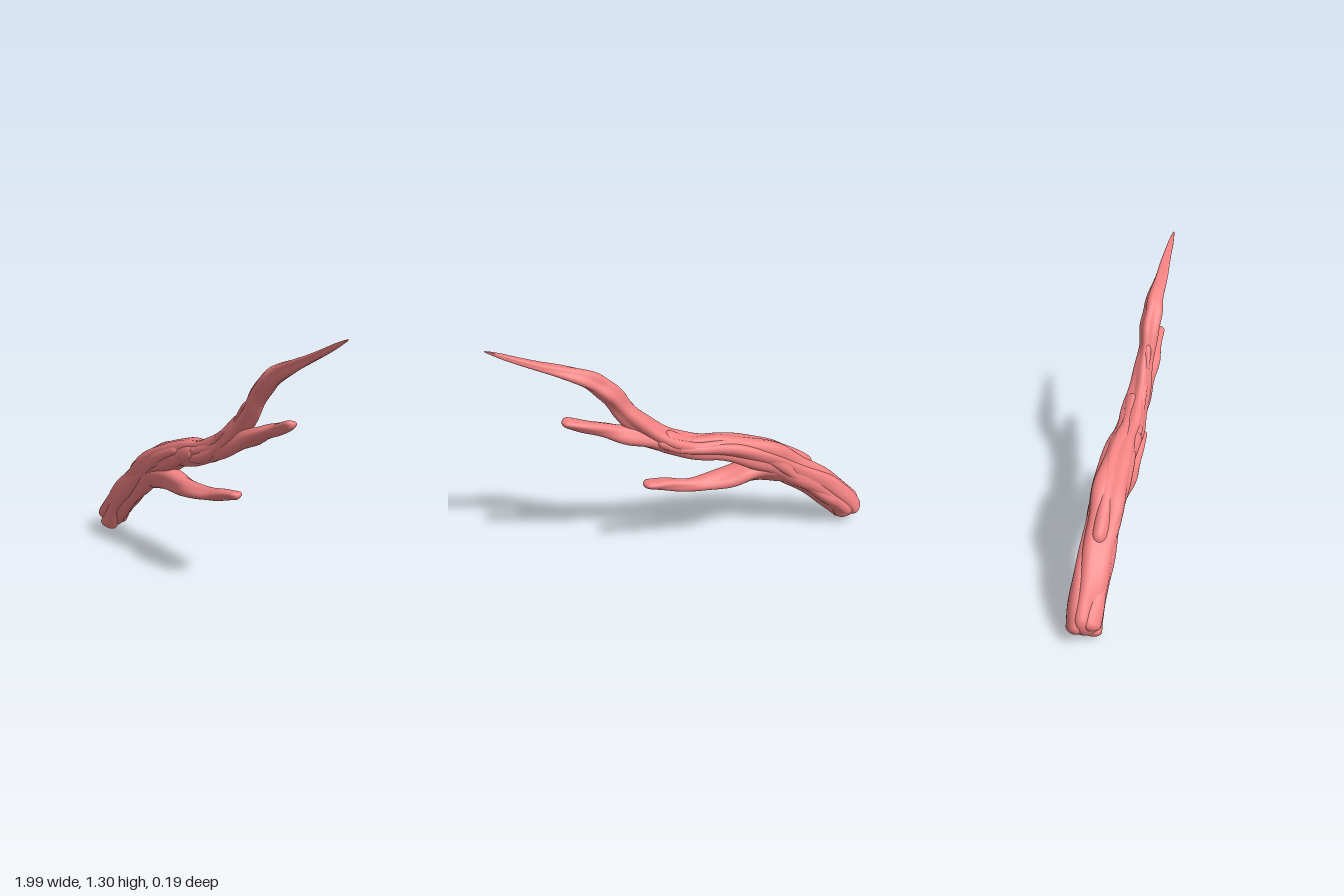
import * as THREE from 'three';

const bark = new THREE.MeshStandardMaterial({ color: 0xf08080 });
const depth = new THREE.Vector3(0, 0, 1);

// Stations are [x, y, half height, half depth, z]; gives curves for the centre line and the size
function rail(stations) {
  return {
    path: new THREE.CatmullRomCurve3(stations.map(([x, y, , , z = 0]) => new THREE.Vector3(x, y, z))),
    size: new THREE.CatmullRomCurve3(stations.map(s => new THREE.Vector3(s[2], s[3], 0)), false, 'catmullrom'),
  };
}

// Point at angle a (0 = top, quarter turn = front) and relative distance k from the centre line
function around({ path, size }, t, a, k) {
  const tan = path.getTangent(t), r = size.getPoint(t);
  const up = new THREE.Vector3(-tan.y, tan.x, 0).normalize();
  return path.getPoint(t)
    .addScaledVector(up, Math.cos(a) * r.x * k)
    .addScaledVector(depth, Math.sin(a) * r.y * k);
}

// Sweeps an oval with lobes that spiral like twisted bark; both ends are rounded off
function limb(name, line, { lobes = 3, amp = 0.11, twist = 9, phase = 0, rings = 60, sides = 24, cap = 0.04 } = {}) {
  const length = line.path.getLength(), pos = [], index = [];
  for (let i = 0; i <= rings; i++) {
    const t = 0.5 - 0.5 * Math.cos(Math.PI * i / rings), s = t * length;
    const d = Math.min(1, Math.min(s, length - s) / cap);
    const round = Math.sqrt(1 - (1 - d) ** 2);
    for (let j = 0; j < sides; j++) {
      const a = j / sides * Math.PI * 2;
      const wave = Math.cos(lobes * a + twist * s + phase)
        + 0.45 * Math.cos((lobes - 1) * a - 1.7 * twist * s + phase * 2)
        + 0.5 * Math.sin(24 * s + a + phase);
      pos.push(...around(line, t, a, round * (1 + amp * wave)));
    }
  }
  for (let i = 0; i < rings; i++) {
    for (let j = 0; j < sides; j++) {
      const a = i * sides + j, b = i * sides + (j + 1) % sides;
      index.push(a, b, a + sides, b, b + sides, a + sides);
    }
  }
  const geo = new THREE.BufferGeometry();
  geo.setAttribute('position', new THREE.Float32BufferAttribute(pos, 3));
  geo.setIndex(index);
  geo.computeVertexNormals();
  const mesh = new THREE.Mesh(geo, bark);
  mesh.name = name;
  return mesh;
}

// A strand of bark winding along a limb from t = from to t = to, swelling and thinning on the way
function ridge(name, line, { angle, spin, from = 0, to, width }) {
  const stations = [];
  for (let i = 0; i <= 10; i++) {
    const u = i / 10, r = width * (1 - 0.3 * u + 0.12 * Math.sin(14 * u + angle));
    const p = around(line, from + (to - from) * u, angle + spin * u + 0.15 * Math.sin(11 * u), 0.6);
    stations.push([p.x, p.y, r, r, p.z]);
  }
  return limb(name, rail(stations), { amp: 0.08, twist: 5, phase: angle, sides: 20 });
}

export function createModel() {
  const g = new THREE.Group();
  g.name = 'branch';

  // Trunk running on into the long upper twig
  const trunk = rail([
    [-0.945, 0.05, 0.078, 0.075],
    [-0.82, 0.205, 0.085, 0.08],
    [-0.6, 0.385, 0.09, 0.08],
    [-0.4, 0.525, 0.088, 0.087],
    [-0.16, 0.61, 0.065, 0.07],
    [0.03, 0.648, 0.06, 0.067],
    [0.21, 0.76, 0.058, 0.052],
    [0.34, 0.9, 0.05, 0.04],
    [0.43, 1.025, 0.05, 0.05],
    [0.54, 1.112, 0.043, 0.046],
    [0.75, 1.204, 0.022, 0.03],
    [1, 1.32, 0.008, 0.01],
  ]);
  g.add(limb('trunkAndUpperTwig', trunk, { lobes: 4, twist: 4, rings: 150, sides: 36, cap: 0.09 }));

  // Middle branch, leaving the limb on its lower side
  g.add(limb('middleBranch', rail([
    [-0.34, 0.555, 0.05, 0.05, 0.02],
    [0, 0.632, 0.052, 0.047, 0.015],
    [0.26, 0.74, 0.05, 0.056],
    [0.46, 0.82, 0.035, 0.045],
    [0.66, 0.893, 0.022, 0.032],
  ]), { phase: 1 }));

  // Lower branch
  g.add(limb('lowerBranch', rail([
    [-0.62, 0.36, 0.05, 0.05],
    [-0.4, 0.43, 0.06, 0.07],
    [-0.2, 0.415, 0.05, 0.065],
    [-0.02, 0.411, 0.034, 0.048],
    [0.12, 0.437, 0.029, 0.04],
    [0.255, 0.462, 0.02, 0.034],
  ]), { phase: 2 }));

  // Bark ridges; those on the trunk end as uneven lobes at the broken base
  const ridges = {
    frontRidge: { angle: 2.2, spin: -1, to: 0.36, width: 0.047 },
    upperFrontRidge: { angle: 0.9, spin: 1, from: 0.012, to: 0.42, width: 0.044 },
    backRidge: { angle: -0.8, spin: -0.9, to: 0.53, width: 0.047 },
    lowerBackRidge: { angle: -2.3, spin: 0.9, from: 0.015, to: 0.32, width: 0.044 },
    topRidge: { angle: 0.1, spin: -0.7, from: 0.16, to: 0.52, width: 0.04 },
    forkRidge: { angle: 1.2, spin: -0.9, from: 0.4, to: 0.66, width: 0.028 },
  };
  for (const [name, rule] of Object.entries(ridges)) g.add(ridge(name, trunk, rule));

  // Rest the branch on the ground
  g.position.y = -new THREE.Box3().setFromObject(g, true).min.y;
  return g;
}
